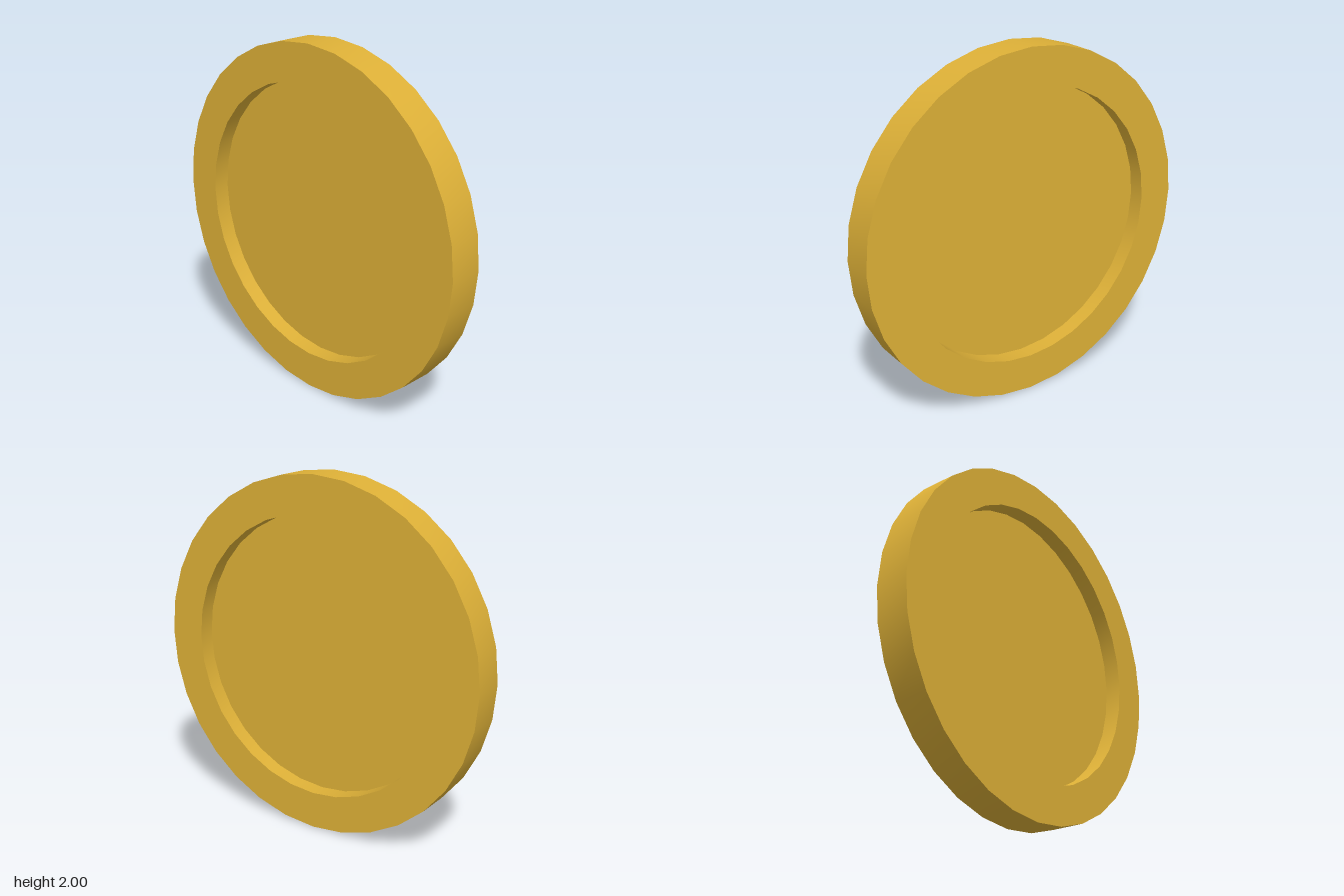
import * as THREE from 'three';
import { toCreasedNormals } from 'three/addons/utils/BufferGeometryUtils.js';

const SIDES = 32;
const OUTER = 1;
const INNER = 0.79;
const HALF = 0.1; // half the rim thickness
const FIELD = 0.007; // half the thickness of the recessed middle

export function createModel() {
  const gold = new THREE.MeshStandardMaterial({ color: 0xddb037 });
  const coin = new THREE.Group();
  coin.name = 'coin';

  // Raised rim: a closed rectangular section turned about the axis
  const section = [
    [INNER, -HALF], [OUTER, -HALF], [OUTER, HALF], [INNER, HALF], [INNER, -HALF],
  ].map(([r, y]) => new THREE.Vector2(r, y));
  const rim = new THREE.Mesh(toCreasedNormals(new THREE.LatheGeometry(section, SIDES), 0.6), gold);
  rim.name = 'rim';

  // Thin flat disc closing the middle, recessed on both faces
  const field = new THREE.Mesh(new THREE.CylinderGeometry(INNER, INNER, FIELD * 2, SIDES), gold);
  field.name = 'recessedField';

  // Stand the coin on its edge, faces towards +x and -x
  coin.add(rim, field);
  coin.rotation.z = Math.PI / 2;
  coin.position.y = OUTER;

  const model = new THREE.Group();
  model.add(coin);
  return model;
}
